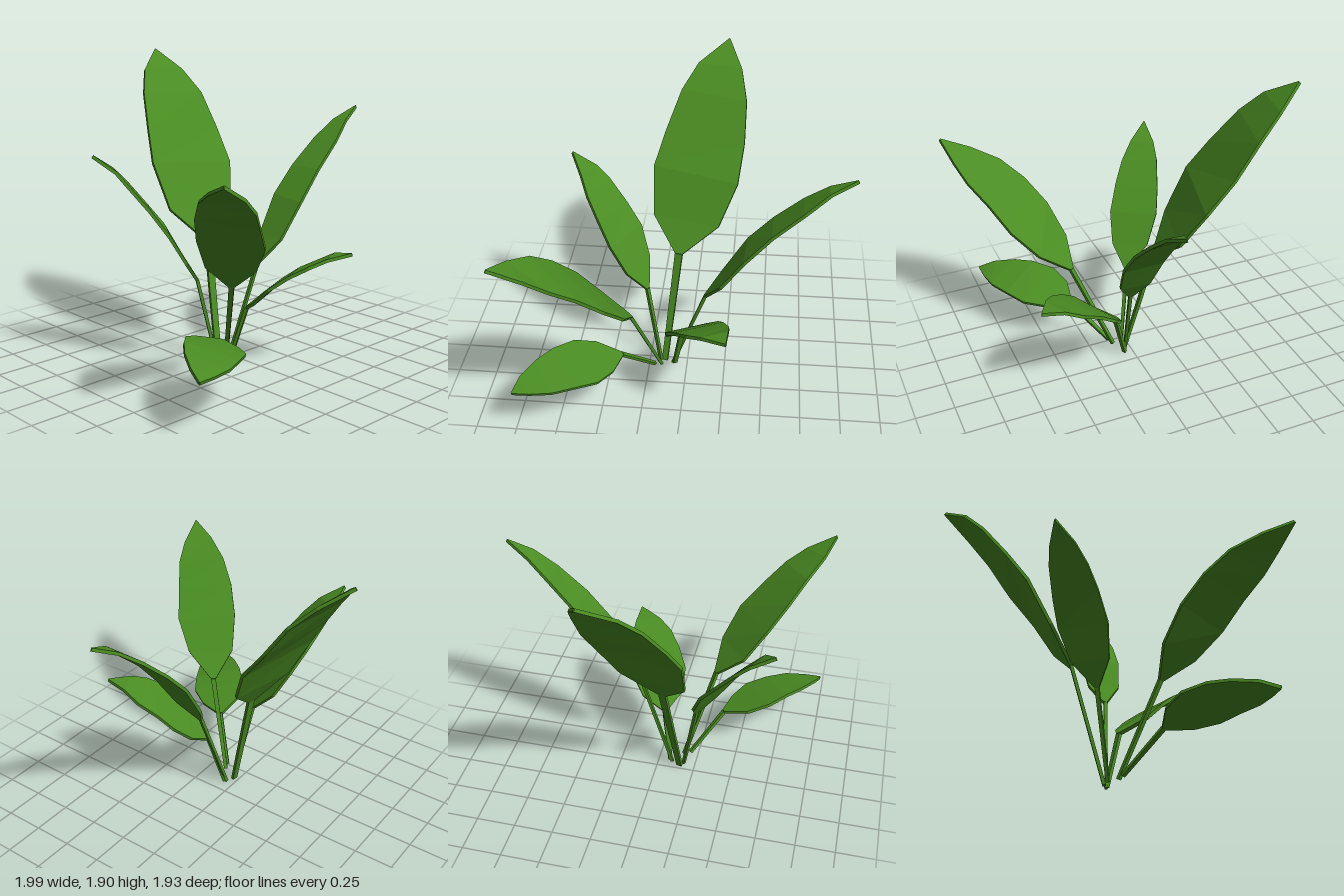
import * as THREE from 'three';

const leafMaterial = new THREE.MeshStandardMaterial({ color: 0x4a8c22, flatShading: true });
const THICKNESS = 0.02;
const vec = (p) => new THREE.Vector3(...p);

// Thin closed slab through rows of [left, right] edge points, running base to tip
function slab(rows) {
  const mids = rows.map(([l, r]) => l.clone().add(r).multiplyScalar(0.5));
  const rings = rows.map(([l, r], i) => {
    const along = mids[Math.min(i + 1, rows.length - 1)].clone().sub(mids[Math.max(i - 1, 0)]);
    const n = r.clone().sub(l).cross(along).normalize().multiplyScalar(THICKNESS / 2);
    return [l.clone().add(n), r.clone().add(n), r.clone().sub(n), l.clone().sub(n)];
  });
  const positions = [];
  const quad = (a, b, c, d) => [a, b, c, a, c, d].forEach((p) => positions.push(p.x, p.y, p.z));
  for (let i = 0; i < rings.length - 1; i++) {
    for (let k = 0; k < 4; k++) {
      const j = (k + 1) % 4;
      quad(rings[i][k], rings[i][j], rings[i + 1][j], rings[i + 1][k]);
    }
  }
  quad(...rings[0].slice().reverse());
  quad(...rings[rings.length - 1]);
  const geometry = new THREE.BufferGeometry();
  geometry.setAttribute('position', new THREE.Float32BufferAttribute(positions, 3));
  geometry.computeVertexNormals();
  return geometry;
}

// One leaf: strap-like stem from root to neck, then a blade between two edges
function makeLeaf({ name, root, neck, tip, left, right, stemWidth }) {
  const across = vec(right[0]).sub(vec(left[0])).normalize();
  const row = (p, width) => [
    vec(p).addScaledVector(across, -width / 2),
    vec(p).addScaledVector(across, width / 2),
  ];
  const neckRow = row(neck, stemWidth);
  const blade = new THREE.Mesh(
    slab([neckRow, ...left.map((p, i) => [vec(p), vec(right[i])]), row(tip, 0.006)]),
    leafMaterial
  );
  blade.name = 'blade';
  const stem = new THREE.Mesh(slab([row(root, stemWidth * 0.75), neckRow]), leafMaterial);
  stem.name = 'stem';
  const group = new THREE.Group();
  group.name = name;
  group.add(stem, blade);
  return group;
}

// Tall leaf leaning back
const tallBackLeaf = {
  name: 'tallBackLeaf', stemWidth: 0.05,
  root: [-0.15, 0.01, 0.03], neck: [-0.07, 0.76, -0.15], tip: [0.19, 1.9, -0.96],
  left: [[-0.245, 0.95, -0.31], [-0.255, 1.23, -0.46], [-0.19, 1.42, -0.58], [-0.1, 1.64, -0.73], [0, 1.78, -0.84]],
  right: [[0.18, 0.94, -0.21], [0.29, 1.19, -0.33], [0.32, 1.4, -0.49], [0.32, 1.62, -0.64], [0.28, 1.77, -0.79]],
};

// Narrow leaf arching to the left
const leftLeaf = {
  name: 'leftLeaf', stemWidth: 0.022,
  root: [-0.095, 0.01, 0.055], neck: [0.12, 0.62, 0.1], tip: [0.99, 1.54, 0.155],
  left: [[0.23, 0.77, 0.016], [0.38, 1.01, 0], [0.53, 1.18, 0.015], [0.7, 1.345, 0.05], [0.84, 1.46, 0.095]],
  right: [[0.22, 0.77, 0.21], [0.36, 0.99, 0.245], [0.52, 1.18, 0.245], [0.7, 1.345, 0.235], [0.84, 1.465, 0.2]],
};

// Small leaf bending forward
const smallFrontLeaf = {
  name: 'smallFrontLeaf', stemWidth: 0.035,
  root: [-0.08, 0.02, 0.06], neck: [-0.02, 0.37, 0.15], tip: [0.28, 0.765, 0.73],
  left: [[0.135, 0.445, 0.17], [0.215, 0.53, 0.245], [0.25, 0.61, 0.35], [0.29, 0.68, 0.475], [0.29, 0.74, 0.59]],
  right: [[-0.11, 0.44, 0.29], [-0.1, 0.55, 0.405], [-0.035, 0.635, 0.505], [0.045, 0.7, 0.6], [0.135, 0.74, 0.66]],
};

// Medium leaf leaning back and right
const backRightLeaf = {
  name: 'backRightLeaf', stemWidth: 0.026,
  root: [-0.175, 0.02, 0.045], neck: [-0.265, 0.555, -0.035], tip: [-0.77, 1.34, -0.385],
  left: [[-0.39, 0.69, 0.01], [-0.495, 0.87, -0.02], [-0.58, 1.025, -0.095], [-0.65, 1.145, -0.17], [-0.7, 1.25, -0.255]],
  right: [[-0.27, 0.7, -0.19], [-0.33, 0.88, -0.28], [-0.425, 1.015, -0.33], [-0.54, 1.165, -0.375], [-0.625, 1.25, -0.39]],
};

// Long leaf reaching forward and right
const frontRightLeaf = {
  name: 'frontRightLeaf', stemWidth: 0.032,
  root: [-0.165, 0.045, 0.11], neck: [-0.325, 0.61, 0.33], tip: [-0.98, 1.375, 0.96],
  left: [[-0.33, 0.75, 0.54], [-0.415, 0.915, 0.69], [-0.55, 1.065, 0.785], [-0.675, 1.185, 0.877], [-0.8, 1.28, 0.925]],
  right: [[-0.505, 0.76, 0.3], [-0.637, 0.955, 0.375], [-0.747, 1.11, 0.485], [-0.837, 1.23, 0.615], [-0.925, 1.31, 0.785]],
};

// Low leaf drooping forward and right
const lowRightLeaf = {
  name: 'lowRightLeaf', stemWidth: 0.03,
  root: [-0.205, 0.055, 0.125], neck: [-0.39, 0.29, 0.32], tip: [-0.99, 0.335, 0.785],
  left: [[-0.42, 0.29, 0.49], [-0.495, 0.31, 0.62], [-0.62, 0.33, 0.7], [-0.75, 0.335, 0.765], [-0.88, 0.335, 0.785]],
  right: [[-0.56, 0.345, 0.285], [-0.69, 0.39, 0.335], [-0.8, 0.41, 0.445], [-0.885, 0.4, 0.55], [-0.96, 0.375, 0.68]],
};

export function createModel() {
  const plant = new THREE.Group();
  plant.name = 'leafyPlant';
  for (const leaf of [tallBackLeaf, leftLeaf, smallFrontLeaf, backRightLeaf, frontRightLeaf, lowRightLeaf]) {
    plant.add(makeLeaf(leaf));
  }
  return plant;
}
